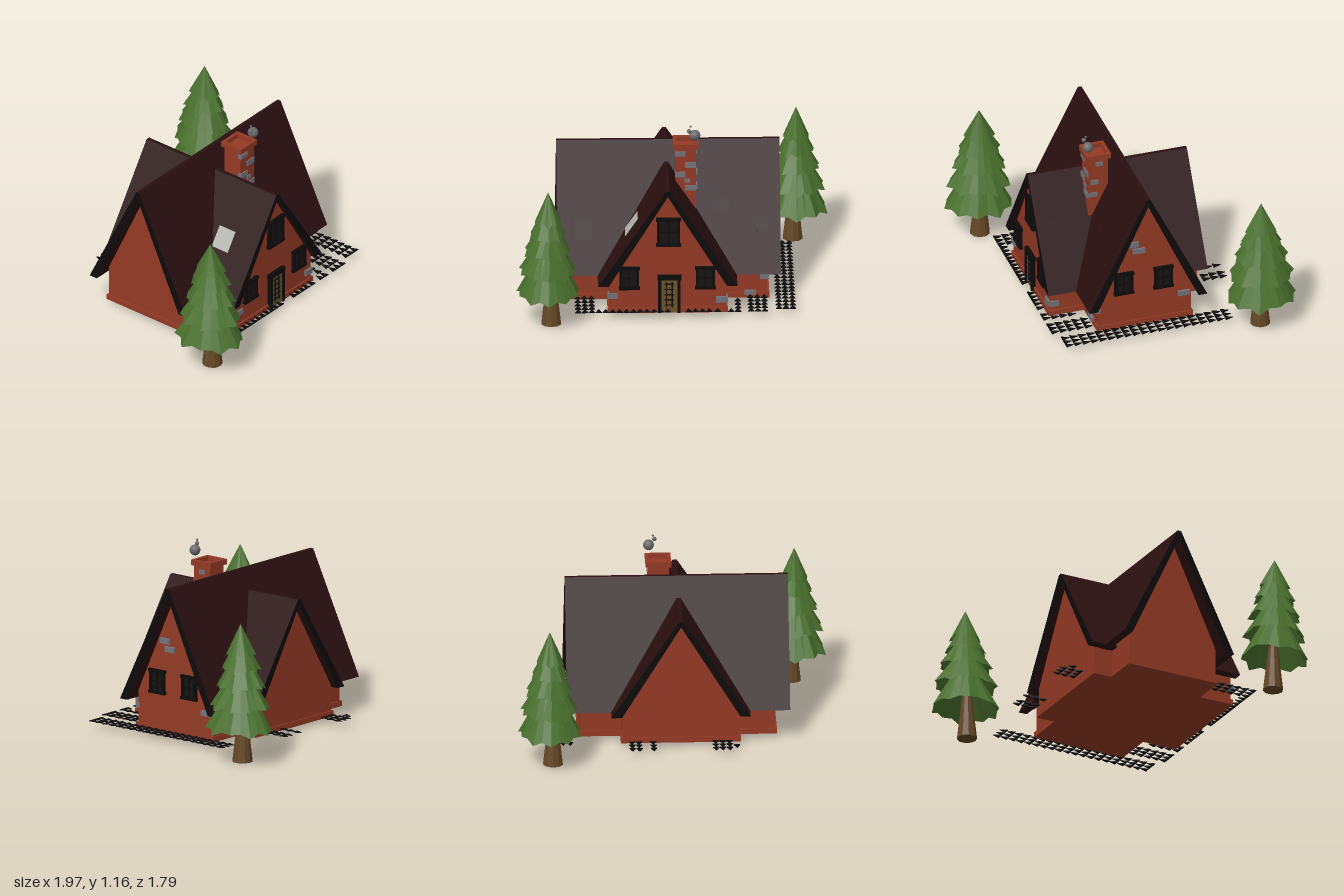
import * as THREE from 'three';
import { mergeGeometries } from 'three/addons/utils/BufferGeometryUtils.js';

const mat = (name, color, extra = {}) => {
  const m = new THREE.MeshStandardMaterial({ color, ...extra });
  m.name = name;
  return m;
};

export function createModel() {
  const brick = mat('brick red', 0x953a25);
  const roofMat = mat('dark roof', 0x2a0f10);
  const black = mat('black trim', 0x0d0a0a);
  const glass = mat('dark glass', 0x161313);
  const stone = mat('grey stone', 0x73737c);
  const smokeMat = mat('smoke grey', 0x69696b);
  const wood = mat('door wood', 0x6e5426);
  const bark = mat('bark', 0x664826, { flatShading: true });
  const leaf = mat('needle green', 0x4a702e, { flatShading: true, side: THREE.DoubleSide });
  const pale = mat('pale skylight', 0xb4b4b0);

  const model = new THREE.Group();
  const add = (parent, name, geo, m, x = 0, y = 0, z = 0) => {
    const mesh = new THREE.Mesh(geo, m);
    mesh.name = name;
    mesh.position.set(x, y, z);
    parent.add(mesh);
    return mesh;
  };
  const box = (parent, name, w, h, d, m, x, y, z) =>
    add(parent, name, new THREE.BoxGeometry(w, h, d), m, x, y, z);
  const group = (name, x = 0, y = 0, z = 0, turn = 0) => {
    const g = new THREE.Group();
    g.name = name;
    g.position.set(x, y, z);
    g.rotation.y = turn;
    model.add(g);
    return g;
  };
  // Extrude an x/y outline along z from z0 to z1
  const prism = (pts, z0, z1) => {
    const shape = new THREE.Shape(pts.map(p => new THREE.Vector2(...p)));
    return new THREE.ExtrudeGeometry(shape, { depth: z1 - z0, bevelEnabled: false }).translate(0, 0, z0);
  };

  // Two crossing gabled blocks, each with walls, plinth and a chevron roof
  const block = (g, o) => {
    const { half, eave, peak, innerPeak, outer, inner, wall, roof } = o;
    add(g, 'walls', prism([[-half, 0.025], [half, 0.025], [half, eave], [0, innerPeak], [-half, eave]], ...wall), brick);
    box(g, 'plinth', half * 2 + 0.02, 0.035, wall[1] - wall[0] + 0.02, brick, 0, 0.0425, (wall[0] + wall[1]) / 2);
    add(g, 'roof', prism([[-outer, 0.21], [-inner, 0.21], [0, innerPeak], [inner, 0.21], [outer, 0.21],
      [0.012, peak], [-0.012, peak]], ...roof), [black, roofMat]);
  };
  block(group('mainHouse', 0, 0, 0.03, Math.PI / 2), {
    half: 0.305, eave: 0.26, peak: 0.975, innerPeak: 0.925, outer: 0.387, inner: 0.33,
    wall: [-0.635, 0.59], roof: [-0.725, 0.67] });
  block(group('crossWing', -0.04), {
    half: 0.365, eave: 0.22, peak: 0.85, innerPeak: 0.815, outer: 0.435, inner: 0.37,
    wall: [-0.4, 0.567], roof: [-0.448, 0.597] });

  // Thin plates lying on a roof slope; u runs along the ridge
  const onSlope = (g, name, m, peak, run, list) => {
    for (const [u, y, w, h] of list) {
      const p = box(g, name, w, h, 0.012, m, u, y, (peak - y) * run / (peak - 0.21));
      p.rotation.x = -Math.atan(run / (peak - 0.21));
    }
  };
  onSlope(group('frontShingles', 0, 0, 0.03), 'shingle', roofMat, 0.975, 0.387, [
    [-0.37, 0.85, 0.13, 0.12], [-0.51, 0.73, 0.09, 0.1], [-0.565, 0.47, 0.11, 0.12],
    [0.36, 0.76, 0.09, 0.11], [0.31, 0.61, 0.08, 0.1], [0.56, 0.49, 0.08, 0.08], [-0.53, 0.87, 0.08, 0.07]]);
  onSlope(group('wingShingles', -0.04, 0, 0, Math.PI / 2), 'shingle', roofMat, 0.85, 0.435, [
    [-0.48, 0.58, 0.085, 0.09], [-0.41, 0.48, 0.08, 0.09], [-0.45, 0.71, 0.09, 0.09], [-0.33, 0.76, 0.08, 0.08]]);
  onSlope(group('skylight', -0.04, 0, 0, -Math.PI / 2), 'skylightPane', pale, 0.85, 0.435, [[0.345, 0.53, 0.128, 0.14]]);

  // Windows: dark pane, frame bars, muntins, sill and lintel
  const windowAt = (x, y, z, w, h, turn = 0) => {
    const g = group('window', x, y, z, turn);
    box(g, 'pane', w, h, 0.008, glass, 0, 0, 0.004);
    for (const s of [-1, 1]) {
      box(g, 'frameSide', 0.018, h, 0.024, black, s * (w / 2 - 0.009), 0, 0.01);
      box(g, 'frameRail', w + 0.012, 0.018, 0.028, black, 0, s * (h / 2 - 0.009), 0.01);
    }
    box(g, 'muntin', 0.01, h, 0.016, black, 0, 0, 0.008);
    box(g, 'muntin', w, 0.01, 0.016, black, 0, 0, 0.008);
  };
  windowAt(-0.28, 0.26, 0.567, 0.12, 0.15);
  windowAt(0.195, 0.26, 0.567, 0.12, 0.15);
  windowAt(-0.035, 0.57, 0.567, 0.145, 0.19);
  windowAt(0.59, 0.345, 0.17, 0.118, 0.155, Math.PI / 2);
  windowAt(0.59, 0.345, -0.09, 0.118, 0.155, Math.PI / 2);

  // Door with frame and lattice
  const door = group('door', -0.03, 0.03, 0.567);
  box(door, 'doorLeaf', 0.11, 0.23, 0.016, wood, 0, 0.115, 0.008);
  for (const s of [-1, 1]) {
    box(door, 'doorPost', 0.02, 0.25, 0.028, black, s * 0.06, 0.125, 0.012);
    box(door, 'latticeBar', 0.007, 0.17, 0.008, black, s * 0.018, 0.12, 0.017);
  }
  box(door, 'lintel', 0.15, 0.03, 0.03, black, 0, 0.235, 0.012);
  for (let i = 0; i < 5; i++) box(door, 'latticeRung', 0.06, 0.007, 0.008, black, 0, 0.05 + i * 0.035, 0.017);

  // Chimney with a hollow cap
  const chimney = group('chimney', 0.08, 0, 0.19);
  box(chimney, 'shaft', 0.13, 0.5, 0.13, brick, 0, 0.75, 0);
  const sq = r => [[-r, -r], [r, -r], [r, r], [-r, r]].map(p => new THREE.Vector2(...p));
  const capShape = new THREE.Shape(sq(0.08));
  capShape.holes.push(new THREE.Path(sq(0.058)));
  const cap = add(chimney, 'cap', new THREE.ExtrudeGeometry(capShape, { depth: 0.035, bevelEnabled: false }), brick, 0, 0.995, 0);
  cap.rotation.x = -Math.PI / 2;

  // Smoke puffs
  for (const [x, y, z, r] of [[0.137, 1.09, 0.255, 0.034], [0.1, 1.123, 0.27, 0.014], [0.11, 1.15, 0.26, 0.007]])
    add(model, 'smokePuff', new THREE.SphereGeometry(r, 16, 12), smokeMat, x, y, z);

  // Loose stones set into walls: x, y, z, sizes
  for (const [x, y, z, w, h, d] of [
    [-0.385, 0.14, 0.56, 0.062, 0.036, 0.04], [0.295, 0.11, 0.565, 0.065, 0.04, 0.03],
    [0.57, 0.165, 0.335, 0.055, 0.028, 0.03], [0.48, 0.06, 0.34, 0.07, 0.03, 0.03],
    [0.59, 0.615, 0.11, 0.03, 0.036, 0.08], [0.59, 0.565, 0.07, 0.03, 0.034, 0.08],
    [0.59, 0.2, -0.225, 0.03, 0.034, 0.08], [0.32, 0.105, 0.537, 0.03, 0.036, 0.055],
    [0.045, 0.965, 0.25, 0.065, 0.03, 0.025], [0.11, 0.89, 0.25, 0.07, 0.036, 0.025],
    [0.045, 0.825, 0.25, 0.065, 0.036, 0.025], [0.09, 0.785, 0.25, 0.035, 0.026, 0.025],
    [0.11, 0.735, 0.25, 0.07, 0.036, 0.025], [0.14, 0.96, 0.185, 0.025, 0.026, 0.045],
    [0.14, 0.83, 0.215, 0.025, 0.03, 0.05], [0.14, 0.74, 0.225, 0.025, 0.03, 0.055]])
    box(model, 'stone', w, h, d, stone, x, y, z);

  // Flat pointed tiles laid around the house: x0, columns, z0, rows
  const tile = prism([[-0.02, -0.024], [0.02, -0.024], [0, 0.026]], 0, 0.006).rotateX(-Math.PI / 2);
  const tiles = [];
  for (const [x0, cols, z0, rows] of [
    [0.655, 3, -0.475, 20], [-0.6, 14, 0.61, 1], [-0.6, 3, 0.39, 4], [0.09, 4, 0.61, 1],
    [0.27, 1, 0.61, 1], [0.355, 2, 0.61, 1], [0.4, 1, 0.445, 3], [0.48, 3, 0.39, 5],
    [-0.385, 1, -0.55, 1], [-0.34, 3, -0.59, 3], [0.135, 1, -0.59, 3], [0.225, 2, -0.59, 3]])
    for (let i = 0; i < cols; i++)
      for (let j = 0; j < rows; j++)
        tiles.push(tile.clone().translate(x0 + i * 0.043, 0.05, z0 + j * 0.055));
  add(model, 'pathTiles', mergeGeometries(tiles), black);

  // Pine trees: tapered trunk and jagged overlapping skirts
  const skirt = (y0, y1, rTop, rBot, k) => {
    const n = 20, geo = new THREE.CylinderGeometry(rTop, rBot, y1 - y0, n, 1, true);
    geo.translate(0, (y0 + y1) / 2, 0);
    const p = geo.attributes.position;
    for (let i = n + 1; i < p.count; i++) {
      const j = (i - n - 1) % n;
      const s = j % 2 ? 0.86 : 0.95 + 0.06 * Math.sin(j * 2.3 + k);
      p.setXYZ(i, p.getX(i) * s, y0 + (j % 2 ? 0.03 : 0.012 + 0.012 * Math.sin(j * 1.7 + k)), p.getZ(i) * s);
    }
    geo.computeVertexNormals();
    return geo;
  };
  for (const [x, z, turn] of [[-0.79, 0.67, 0], [0.79, -0.67, Math.PI]]) {
    const tree = group('pineTree', x, 0, z, turn);
    tree.scale.z = 1.15;
    add(tree, 'trunk', new THREE.CylinderGeometry(0.03, 0.064, 0.3, 10), bark, 0.02, 0.15, 0).scale.z = 0.87;
    [[0.19, 0.45, 0.07, 0.208], [0.34, 0.57, 0.055, 0.188], [0.47, 0.68, 0.04, 0.155],
      [0.58, 0.78, 0.025, 0.122], [0.67, 0.885, 0.001, 0.092]]
      .forEach((t, k) => add(tree, 'needles', skirt(...t, k), leaf));
  }
  return model;
}
